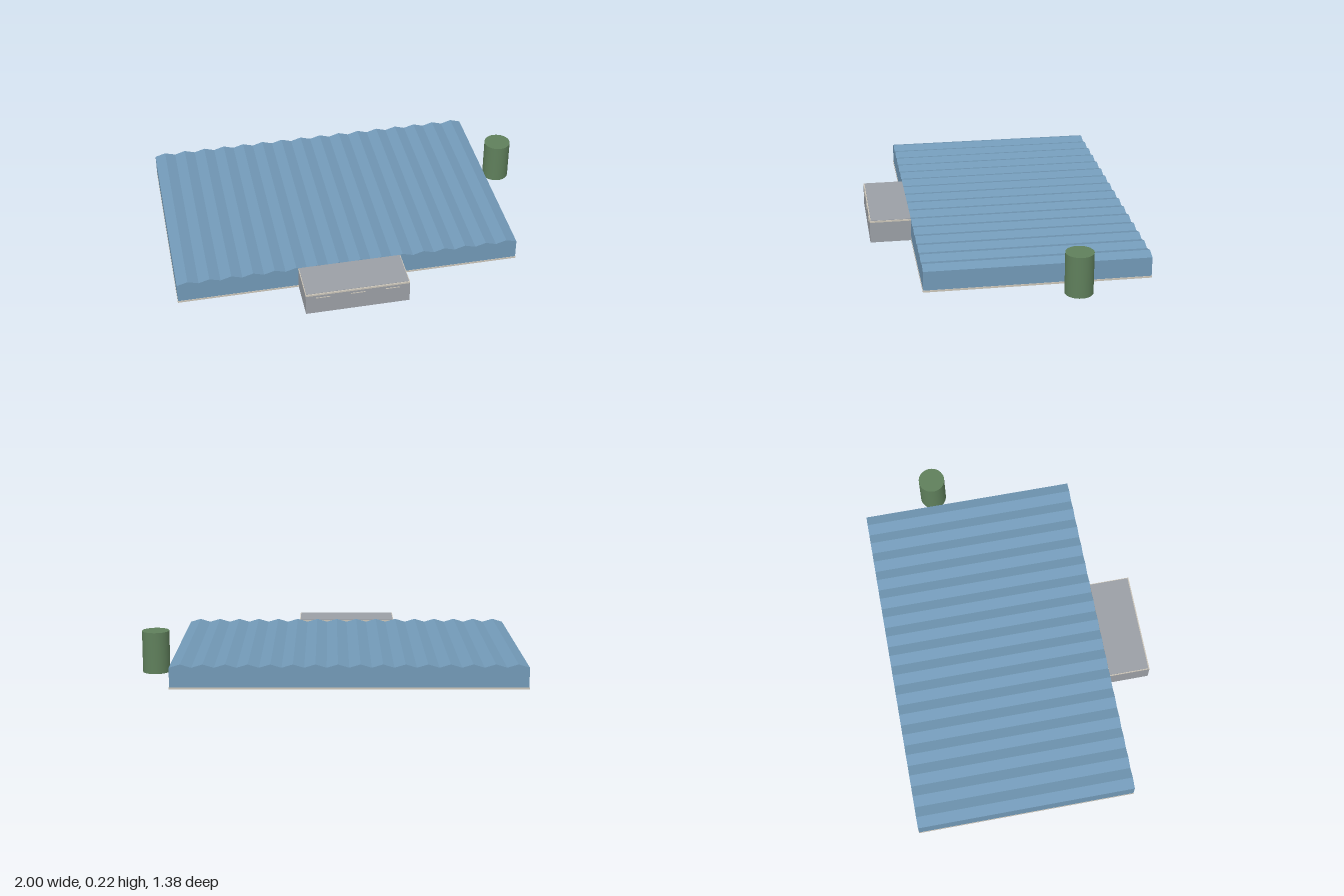
import * as THREE from 'three';

const mat = (name, color, side = THREE.FrontSide) => {
  const m = new THREE.MeshStandardMaterial({ color, side });
  m.name = name;
  return m;
};

export function createModel() {
  const group = new THREE.Group();
  const blue = mat('blue cladding', 0x7299b7);
  const grey = mat('grey panel', 0x9b9fa5, THREE.DoubleSide);
  const pale = mat('pale concrete', 0xcbc5b9);
  const green = mat('green tank', 0x5f7f5b, THREE.DoubleSide);

  const add = (name, geometry, material, x = 0, y = 0, z = 0) => {
    const mesh = new THREE.Mesh(geometry, material);
    mesh.name = name;
    mesh.position.set(x, y, z);
    group.add(mesh);
    return mesh;
  };

  // Main hall: a sawtooth-topped profile extruded from back to front
  const left = -0.998, right = 0.816, back = -0.69, front = 0.471;
  const ridges = 16, slab = 0.01, valley = 0.112, peak = 0.129;
  const step = (right - left) / (ridges * 2);
  const profile = new THREE.Shape();
  profile.moveTo(left, slab);
  profile.lineTo(right, slab);
  for (let i = ridges * 2; i >= 0; i--) {
    profile.lineTo(left + i * step, i % 2 ? peak : valley);
  }
  profile.closePath();
  add('hallWithRidgedRoof',
    new THREE.ExtrudeGeometry(profile, { depth: front - back, bevelEnabled: false }),
    blue, 0, 0, back);

  // Floor slab, a hair wider than the hall
  const lip = 0.002;
  add('floorSlab',
    new THREE.BoxGeometry(right - left + lip * 2, slab, front - back + lip * 2), pale,
    (left + right) / 2, slab / 2, (front + back) / 2);

  // Front annex: three thin walls, open underneath
  const ax0 = -0.365, ax1 = 0.18, az1 = 0.69, wallH = 0.114, roofH = 0.009;
  const ax = (ax0 + ax1) / 2, az = (front + az1) / 2;
  const width = ax1 - ax0, depth = az1 - front;
  add('annexFrontWall', new THREE.PlaneGeometry(width, wallH), grey, ax, wallH / 2, az1);
  for (const [name, x, s] of [['annexLeftWall', ax1, 1], ['annexRightWall', ax0, -1]]) {
    add(name, new THREE.PlaneGeometry(depth, wallH), grey, x, wallH / 2, az)
      .rotation.y = s * Math.PI / 2;
  }

  // Narrow pale lintels on the annex front
  for (let i = -1; i <= 1; i++) {
    add('lintel', new THREE.BoxGeometry(0.075, 0.004, 0.002), pale,
      ax + i * width / 3, 0.099, az1 + 0.001);
  }

  // Annex roof: pale edge with a grey sheet set inside it
  add('annexRoof', new THREE.BoxGeometry(width, roofH, depth),
    [pale, pale, pale, grey, pale, pale], ax, wallH + roofH / 2, az);
  add('annexRoofSheet', new THREE.BoxGeometry(width - 0.008, 0.002, depth - 0.006), grey,
    ax, wallH + roofH + 0.001, az - 0.003);

  // Free-standing tank, open at the bottom
  const radius = 0.072, height = 0.22;
  add('tankShell', new THREE.CylinderGeometry(radius, radius, height, 32, 1, true), green,
    0.926, height / 2, -0.292);
  add('tankLid', new THREE.CircleGeometry(radius, 32), green, 0.926, height, -0.292)
    .rotation.x = -Math.PI / 2;

  return group;
}
